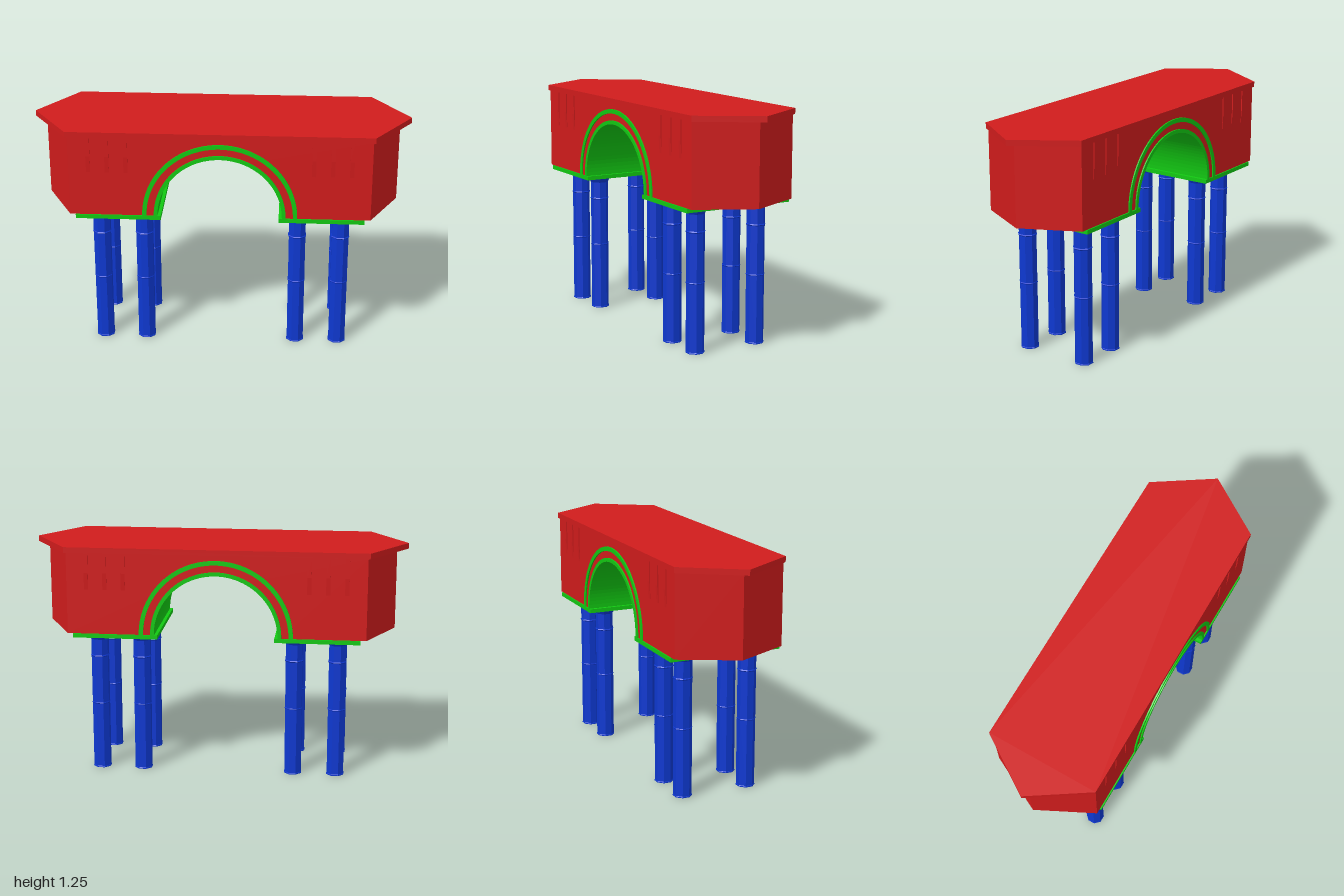
import * as THREE from 'three';

const mat = (color) => new THREE.MeshStandardMaterial({ color, flatShading: true });
const red = mat(0xd01c1c), green = mat(0x12c812), blue = mat(0x0e38d0);

const BASE = 0.78;       // underside of the deck body and centre of the arch
const TOP = 1.215;       // underside of the deck slab
const HALF_DEPTH = 0.298;

export function createModel() {
  const model = new THREE.Group();
  const add = (name, geometry, material, x = 0, y = 0, z = 0) => {
    const mesh = new THREE.Mesh(geometry, material);
    mesh.name = name;
    mesh.position.set(x, y, z);
    model.add(mesh);
    return mesh;
  };

  // Deck slab: long hexagon with pointed ends
  const hexagon = new THREE.Shape([
    [1, 0], [0.8, 0.305], [-0.8, 0.305], [-1, 0], [-0.8, -0.305], [0.8, -0.305],
  ].map(([x, y]) => new THREE.Vector2(x, y)));
  const slab = new THREE.ExtrudeGeometry(hexagon, { depth: 0.03, bevelEnabled: false });
  add('deckSlab', slab.rotateX(-Math.PI / 2), red, 0, TOP, 0);

  // Body: wall with an arched opening, ends pulled out to a point at mid depth
  const wall = new THREE.Shape();
  wall.moveTo(0.79, BASE);
  wall.lineTo(0.79, TOP);
  wall.lineTo(-0.79, TOP);
  wall.lineTo(-0.79, BASE);
  wall.lineTo(-0.345, BASE);
  wall.absarc(0, BASE, 0.345, Math.PI, 0, true);
  const body = new THREE.ExtrudeGeometry(wall, {
    depth: 2 * HALF_DEPTH, steps: 2, curveSegments: 24, bevelEnabled: false,
  }).translate(0, 0, -HALF_DEPTH);
  const pos = body.attributes.position;
  for (let i = 0; i < pos.count; i++) {
    if (Math.abs(pos.getZ(i)) < 0.001 && Math.abs(pos.getX(i)) > 0.78) {
      pos.setX(i, Math.sign(pos.getX(i)) * 0.94);
    }
  }
  body.computeVertexNormals();
  add('body', body, red);

  // Arch lining and outer arch moulding, running through the full depth
  const archBand = (name, inner, outer) => {
    const band = new THREE.Shape();
    band.absarc(0, BASE, outer, 0, Math.PI, false);
    band.absarc(0, BASE, inner, Math.PI, 0, true);
    const geometry = new THREE.ExtrudeGeometry(band, {
      depth: 0.61, curveSegments: 24, bevelEnabled: false,
    });
    add(name, geometry.translate(0, 0, -0.305), green);
  };
  archBand('archLining', 0.327, 0.347);
  archBand('archMoulding', 0.385, 0.408);

  // Tapered rib profile (outward, up), extruded to the rib width
  const ribShape = new THREE.Shape([
    [-0.01, 1.02], [0, 1.02], [0.006, 1.11], [0.006, TOP], [-0.01, TOP],
  ].map(([x, y]) => new THREE.Vector2(x, y)));
  const ribGeometry = new THREE.ExtrudeGeometry(ribShape, { depth: 0.022, bevelEnabled: false })
    .translate(0, 0, -0.011).rotateY(-Math.PI / 2);

  // Column: octagonal shaft with joint rings, a foot rim and a flared capital
  const columnProfile = [
    [0, 0], [0.05, 0], [0.05, 0.005], [0.048, 0.008],
    [0.048, 0.366], [0.0505, 0.37], [0.048, 0.374],
    [0.048, 0.63], [0.052, 0.635], [0.048, 0.64],
    [0.048, 0.727], [0.062, 0.75], [0.062, 0.762], [0, 0.762],
  ].map(([r, y]) => new THREE.Vector2(r, y));
  const columnGeometry = new THREE.LatheGeometry(columnProfile, 8, Math.PI / 8);

  for (const side of [1, -1]) {
    // Bearing plate on top of each group of four columns
    add('bearingPlate', new THREE.BoxGeometry(0.45, 0.022, 0.61), green, side * 0.535, 0.769, 0);
    for (const face of [1, -1]) {
      for (const x of [0.64, 0.41]) {
        add('column', columnGeometry, blue, side * x, 0, face * 0.182);
      }
      for (const x of [0.685, 0.587, 0.489]) {
        const rib = add('rib', ribGeometry, red, side * x, 0, face * HALF_DEPTH);
        rib.rotation.y = face > 0 ? 0 : Math.PI;
      }
    }
  }
  return model;
}
